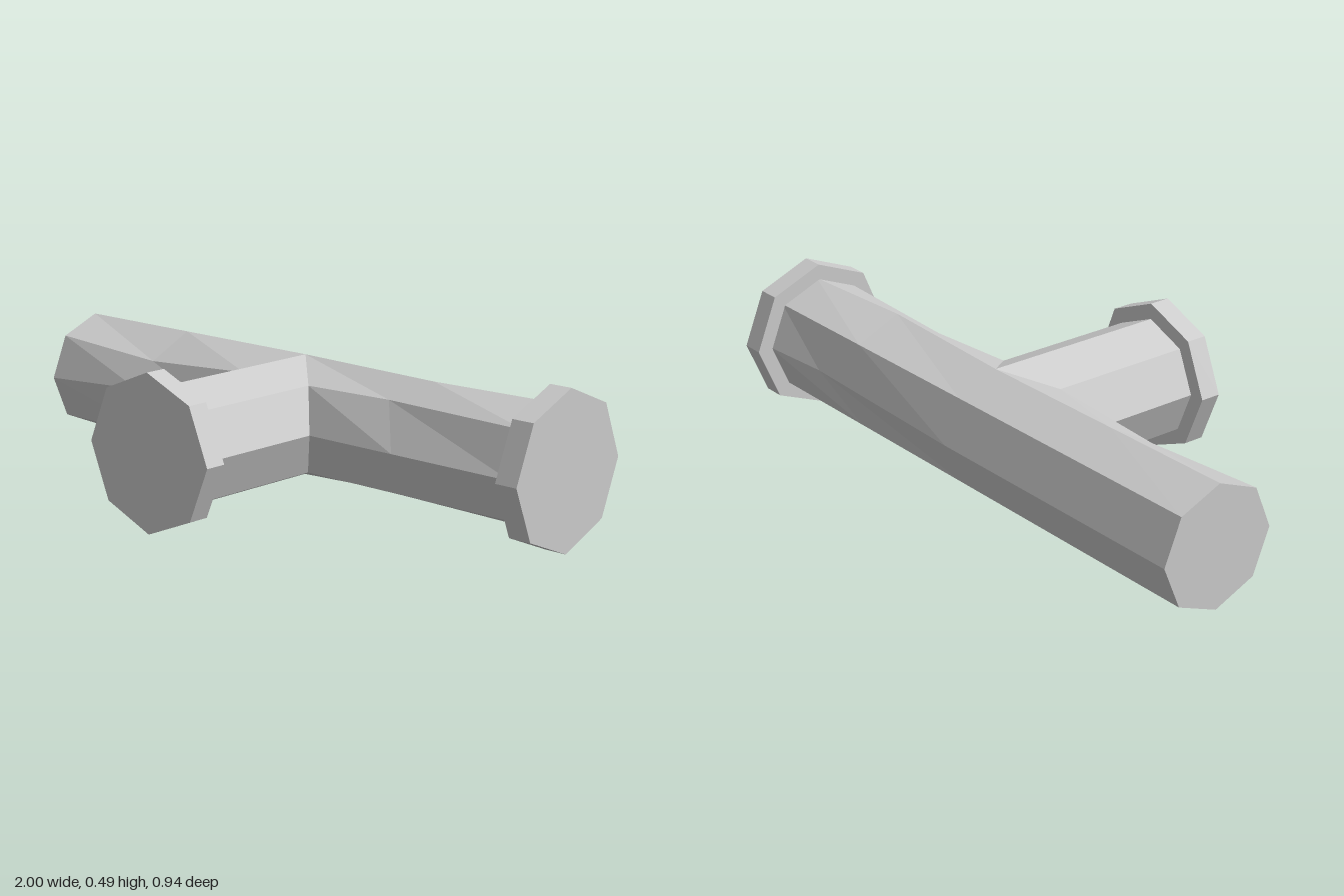
import * as THREE from 'three';

const R = 0.195;       // pipe radius
const FLANGE_R = 0.247;
const CX = -0.02, CY = 0.25, CZ = -0.22; // point where the two axes cross
const SIDES = 8;

const material = new THREE.MeshStandardMaterial({ color: 0xcccccc, flatShading: true });

// Eight corner directions, as [cos, sin]
const corners = Array.from({ length: SIDES }, (_, k) => {
  const a = (k / SIDES) * Math.PI * 2;
  return [Math.cos(a) * R, Math.sin(a) * R];
});

// Skin a list of eight-point rings, with optional end caps
function loft(name, rings, capStart, capEnd) {
  const pos = [];
  const tri = (a, b, c) => pos.push(...a, ...b, ...c);
  for (let i = 0; i < rings.length - 1; i++) {
    for (let k = 0; k < SIDES; k++) {
      const n = (k + 1) % SIDES;
      const [a, b] = [rings[i], rings[i + 1]];
      tri(a[k], a[n], b[n]);
      tri(a[k], b[n], b[k]);
    }
  }
  const first = rings[0], last = rings[rings.length - 1];
  for (let k = 1; k < SIDES - 1; k++) {
    if (capStart) tri(first[0], first[k + 1], first[k]);
    if (capEnd) tri(last[0], last[k], last[k + 1]);
  }
  const geometry = new THREE.BufferGeometry();
  geometry.setAttribute('position', new THREE.Float32BufferAttribute(pos, 3));
  geometry.computeVertexNormals();
  const mesh = new THREE.Mesh(geometry, material);
  mesh.name = name;
  return mesh;
}

// Ring around the main pipe; xAt and shift may vary per corner (0 = top, 2 = front, 4 = bottom, 6 = back)
function pipeRing(xAt, shift = () => [0, 0]) {
  return corners.map(([c, s], k) => {
    const [dy, dz] = shift(k);
    return [xAt(k, s), CY + c + dy, CZ + s + dz];
  });
}

// Ring of slightly dented corners: corner -> [x, dy, dz]
function dentRing(dents, x) {
  return pipeRing((k) => (dents[k] ? dents[k][0] : x), (k) => (dents[k] ? dents[k].slice(1) : [0, 0]));
}

function flange(name, length) {
  const mesh = new THREE.Mesh(new THREE.CylinderGeometry(FLANGE_R, FLANGE_R, length, SIDES), material);
  mesh.name = name;
  return mesh;
}

export function createModel() {
  const group = new THREE.Group();
  group.name = 'teePipe';

  // Two halves of the main pipe, mitred at the front where the branch joins
  const rightDents = { 1: [-0.57, -0.025, 0], 2: [-0.59, 0.025, 0], 4: [-0.5, 0, 0.02] };
  const leftDents = { 0: [0.52, 0, 0.025], 1: [0.42, 0, -0.025], 4: [0.4, 0.015, 0], 6: [0.68, 0, 0.02] };
  group.add(loft('mainPipeRight', [
    pipeRing(() => -1),
    dentRing(rightDents, -0.55),
    pipeRing((k, s) => CX - Math.max(0, s)),
  ], true, false));
  group.add(loft('mainPipeLeft', [
    pipeRing((k, s) => CX + Math.max(0, s)),
    dentRing(leftDents, 0.5),
    pipeRing(() => 0.94),
  ], false, false));

  // Branch pipe, its back end cut to the mitre
  group.add(loft('branchPipe', [
    corners.map(([c, s]) => [CX + c, CY + s, CZ + Math.abs(c)]),
    corners.map(([c, s]) => [CX + c, CY + s, 0.41]),
  ], false, false));

  // End flanges
  const sideFlange = flange('sideFlange', 0.075);
  sideFlange.rotation.z = Math.PI / 2;
  sideFlange.position.set(0.9625, CY, CZ);
  const frontFlange = flange('frontFlange', 0.07);
  frontFlange.rotation.x = Math.PI / 2;
  frontFlange.position.set(CX, CY, 0.435);
  group.add(sideFlange, frontFlange);

  return group;
}
